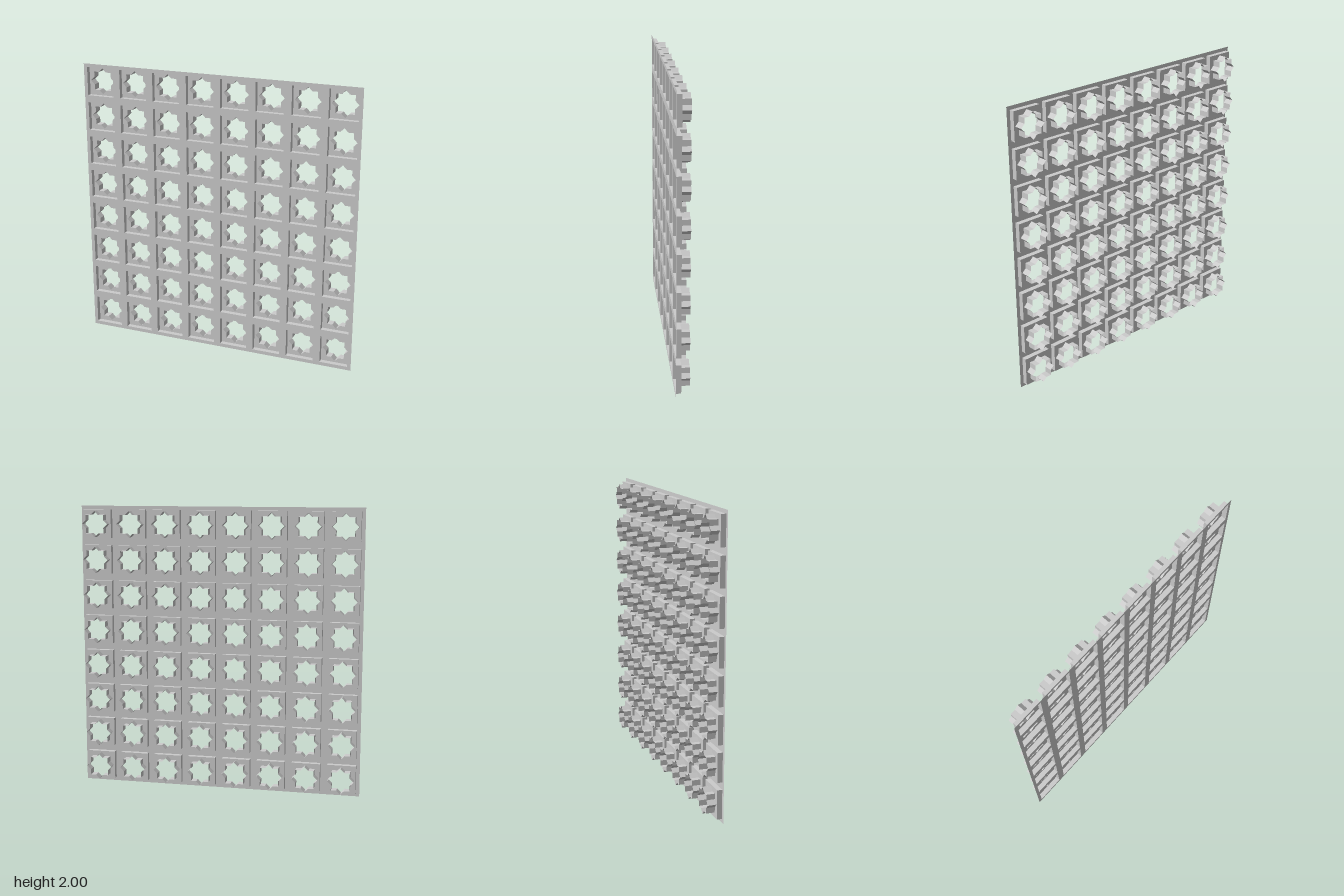
import * as THREE from 'three';

const CELLS = 8, PITCH = 0.25, HOLE = 0.2, STAR_R = 0.091;
const Z_FRONT = 0.047, Z_FLOOR = 0.012, Z_BACK = -0.047;

const material = new THREE.MeshStandardMaterial({
  color: 0xcccccc, flatShading: true, side: THREE.DoubleSide,
});

// Corners of a square around (x, y)
function squarePoints(size, x = 0, y = 0) {
  const h = size / 2;
  return [[-h, -h], [h, -h], [h, h], [-h, h]].map(([a, b]) => new THREE.Vector2(x + a, y + b));
}

// Eight-pointed star: the outline of two overlapping squares
function starPoints(radius) {
  const inner = radius * Math.cos(Math.PI / 4) / Math.cos(Math.PI / 8);
  return Array.from({ length: 16 }, (_, i) => {
    const a = i * Math.PI / 8, r = i % 2 ? inner : radius;
    return new THREE.Vector2(r * Math.cos(a), r * Math.sin(a));
  });
}

// Thin wall that follows a closed outline from zBack to zFront, facing outwards
function wallGeometry(points, zBack, zFront) {
  const pos = [];
  points.forEach((p, i) => {
    const q = points[(i + 1) % points.length];
    pos.push(p.x, p.y, zBack, q.x, q.y, zBack, q.x, q.y, zFront);
    pos.push(p.x, p.y, zBack, q.x, q.y, zFront, p.x, p.y, zFront);
  });
  const g = new THREE.BufferGeometry();
  g.setAttribute('position', new THREE.Float32BufferAttribute(pos, 3));
  g.computeVertexNormals();
  return g;
}

function namedMesh(geometry, name) {
  const mesh = new THREE.Mesh(geometry, material);
  mesh.name = name;
  return mesh;
}

export function createModel() {
  const model = new THREE.Group();
  model.name = 'starLatticePanel';

  const centres = [];
  for (let row = 0; row < CELLS; row++)
    for (let col = 0; col < CELLS; col++)
      centres.push([(col - (CELLS - 1) / 2) * PITCH, (row + 0.5) * PITCH]);

  // Front sheet with a grid of square openings
  const sheet = new THREE.Shape(squarePoints(CELLS * PITCH, 0, 1));
  for (const [x, y] of centres) sheet.holes.push(new THREE.Path(squarePoints(HOLE, x, y).reverse()));
  const frontSheet = namedMesh(new THREE.ShapeGeometry(sheet), 'frontSheet');
  frontSheet.position.z = Z_FRONT;
  model.add(frontSheet);

  // Parts of one coffer: square pocket, floor with a star opening, star tube
  const floor = new THREE.Shape(squarePoints(HOLE));
  floor.holes.push(new THREE.Path(starPoints(STAR_R).reverse()));
  const floorGeometry = new THREE.ShapeGeometry(floor).translate(0, 0, Z_FLOOR);
  const pocketGeometry = wallGeometry(squarePoints(HOLE), Z_FLOOR, Z_FRONT);
  const tubeGeometry = wallGeometry(starPoints(STAR_R), Z_BACK, Z_FLOOR);

  for (const [x, y] of centres) {
    const coffer = new THREE.Group();
    coffer.name = 'coffer';
    coffer.add(
      namedMesh(pocketGeometry, 'pocketWalls'),
      namedMesh(floorGeometry, 'pocketFloor'),
      namedMesh(tubeGeometry, 'starTube'),
    );
    coffer.position.set(x, y, 0);
    model.add(coffer);
  }
  return model;
}
